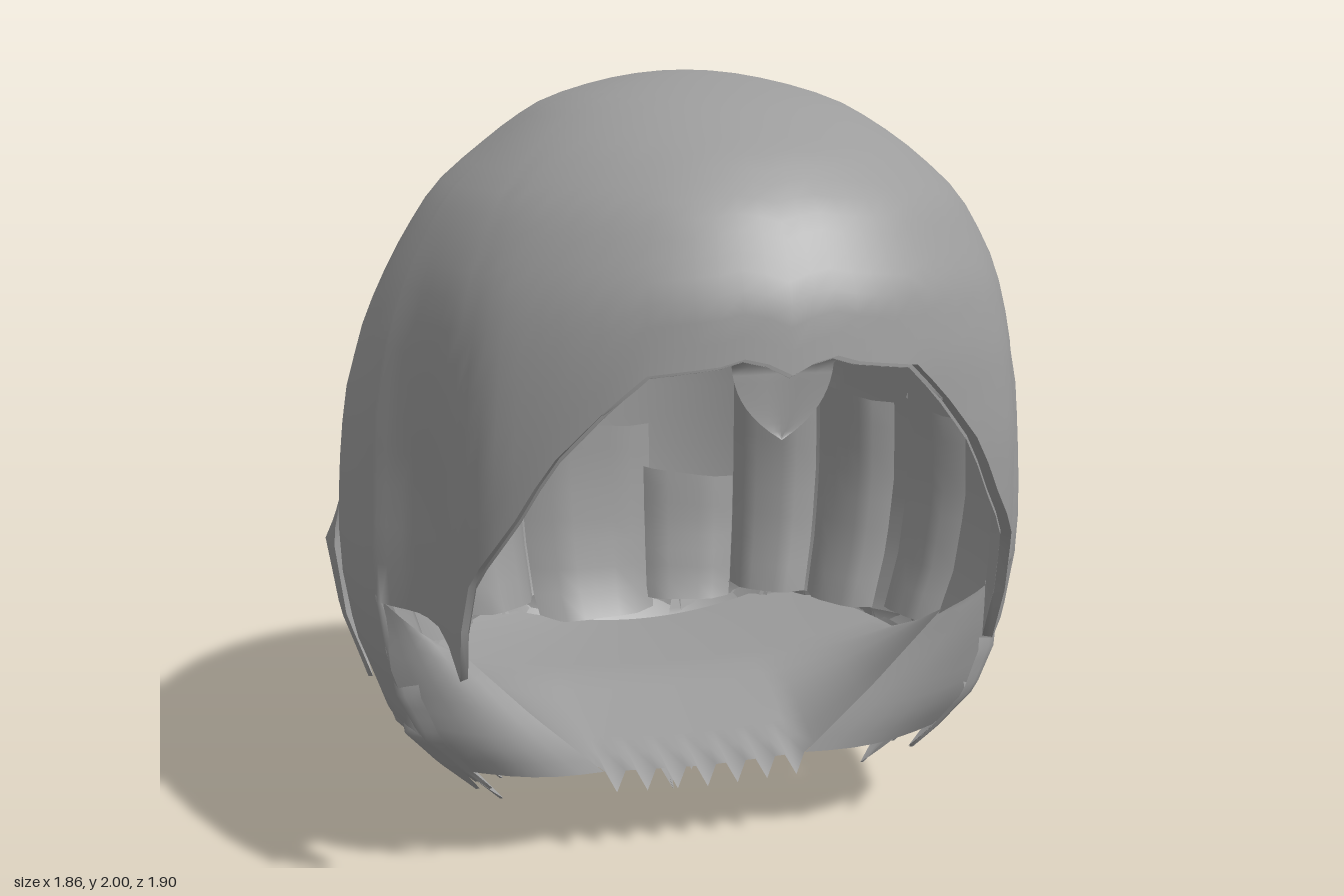
import * as THREE from 'three';
import { mergeVertices } from 'three/addons/utils/BufferGeometryUtils.js';

const hairMat = new THREE.MeshStandardMaterial({ color: 0x9c9c9c, side: THREE.DoubleSide });
hairMat.name = 'hairGrey';
const { lerp, smoothstep } = THREE.MathUtils;

// Linear lookup through [key, value] pairs with ascending keys
function lookup(keys, x) {
  if (x <= keys[0][0]) return keys[0][1];
  for (let i = 1; i < keys.length; i++) {
    const [a, va] = keys[i - 1], [b, vb] = keys[i];
    if (x <= b) return va + (vb - va) * (x - a) / (b - a);
  }
  return keys[keys.length - 1][1];
}

// Head shape: profiles (share of full radius by height) for front, side and back
const levels = [0, 0.1, 0.2, 0.3, 0.4, 0.6, 0.8, 1, 1.2, 1.4, 1.55, 1.72, 1.83, 1.93, 1.98, 2];
const profile = (v) => levels.map((y, i) => [Math.sqrt(2 - y), v[i]]).reverse();
const FRONT = profile([0.5, 0.6, 0.72, 0.82, 0.9, 0.94, 0.97, 0.99, 1, 1, 0.98, 0.88, 0.74, 0.5, 0.26, 0]);
const SIDE = profile([0.45, 0.55, 0.67, 0.79, 0.89, 0.967, 1, 0.99, 0.965, 0.9, 0.82, 0.7, 0.555, 0.39, 0.2, 0]);
const BACK = profile([0.15, 0.58, 0.72, 0.85, 0.93, 0.98, 1, 1, 1, 0.95, 0.88, 0.75, 0.62, 0.46, 0.28, 0]);

// Outline by angle from the front, and height of the lower edge by the same angle
const OUTLINE = [[0, 0.95], [20, 0.95], [41, 0.94], [56, 0.84], [64, 0.83], [73, 0.88], [90, 0.9],
  [106, 0.905], [120, 0.885], [150, 0.89], [180, 0.88]];
const HEM = [[0, 1.4], [5, 1.44], [9, 1.42], [18, 1.4], [23, 1.33], [31, 1.2], [37, 1.05], [45, 0.9], [48, 0.78],
  [51, 0.64], [55, 0.74], [60, 0.76], [71, 0.76], [72, 0.3], [90, 0.28], [180, 0.25]];

function radius(deg, y) {
  const a = Math.abs(deg) > 180 ? 360 - Math.abs(deg) : Math.abs(deg);
  const c = Math.cos(a * Math.PI / 180), q = Math.sqrt(Math.max(0, 2 - y));
  const side = lookup(SIDE, q), end = lookup(c > 0 ? FRONT : BACK, q);
  const dome = 0.9 + (c > 0 ? 0.05 : -0.02) * c * c;
  const full = lerp(dome, lookup(OUTLINE, a), 1 - smoothstep(y, 1.0, 1.7));
  return full * lerp(side, end, c * c);
}

function surface(deg, y, offset = 0) {
  const r = Math.max(0, radius(deg, y) + offset), a = deg * Math.PI / 180;
  return [Math.sin(a) * r, y, Math.cos(a) * r];
}

// Smooth sheet from point(u index, v index)
function sheet(name, nu, nv, point) {
  const pos = [], index = [];
  for (let i = 0; i <= nu; i++) for (let j = 0; j <= nv; j++) pos.push(...point(i, j));
  for (let i = 0; i < nu; i++) for (let j = 0; j < nv; j++) {
    const a = i * (nv + 1) + j, b = a + nv + 1;
    index.push(a, a + 1, b, b, a + 1, b + 1);
  }
  let geo = new THREE.BufferGeometry();
  geo.setAttribute('position', new THREE.Float32BufferAttribute(pos, 3));
  geo.setIndex(index);
  geo = mergeVertices(geo, 1e-5);
  geo.computeVertexNormals();
  const mesh = new THREE.Mesh(geo, hairMat);
  mesh.name = name;
  return mesh;
}

// Tapered lock that follows the head shape, ridged along its middle; fork raises the top corners
function lock(name, deg, width, top, tip, { lift = 0.02, drop = 0.04, sweep = 0, power = 1.6, fork = 0 } = {}) {
  return sheet(name, 6, 12, (i, j) => {
    const e = i / 3 - 1, t = j / 12, ramp = Math.min(1, t * 4);
    const y = top + (tip - top) * t;
    const w = width * (1 - Math.pow(t, power));
    const mid = deg + sweep * t;
    const d = w * e / Math.max(0.4, radius(mid, y)) * 180 / Math.PI;
    const off = lift * ramp - drop * Math.abs(e) * (1 - t * 0.7) * (fork ? ramp : 1) - (fork ? 0.008 : 0.02) * (1 - ramp);
    return surface(mid + d, y + fork * Math.abs(e) * (1 - t), off);
  });
}

export function createModel() {
  const group = new THREE.Group();
  group.name = 'hair';

  // Outer and inner shells, joined by a rim along the lower edge
  const half = [];
  for (let a = 0; a <= 180; a += 3) { half.push(a); if (a === 69) half.push(71); }
  const angles = [...half.slice(1).map((a) => -a).reverse(), ...half];
  const n = angles.length - 1, rows = 32, split = 24;
  const outer = (i, j) => {
    const hem = lookup(HEM, Math.abs(angles[i])), waist = Math.max(hem, 0.76);
    const y = j <= split ? 2 - (2 - waist) * (j / split) ** 2 : lerp(waist, hem, (j - split) / (rows - split));
    return surface(angles[i], y);
  };
  const inner = (i, j) => {
    const [x, y, z] = outer(i, j), s = j / rows;
    return [x * 0.97, y - 0.025 * (1 - s * s), z * 0.97];
  };
  group.add(sheet('outerShell', n, rows, outer));
  group.add(sheet('innerShell', n, rows, (i, j) => inner(n - i, j)));
  group.add(sheet('shellRim', n, 1, (i, j) => (j ? inner : outer)(i, rows)));

  // Bowl-shaped under-layer closing the bottom, with a ragged front edge
  const edgeY = [[0, 0.24], [0.27, 0.25], [0.45, 0.42], [0.64, 0.62]];
  group.add(sheet('underLayer', 48, 12, (i, j) => {
    const u = i / 24 - 1, v = j / 12, ax = Math.abs(u) * 0.64;
    const z = 0.24 - v * 0.92;
    const tooth = j === 0 && ax < 0.28 && i % 3 === 0 ? 0.05 : 0;
    const narrow = Math.sqrt(1 - Math.pow(Math.min(0, z) / 0.88, 2));
    const x = u * (0.64 + 0.06 * Math.min(1, v * 3)) * narrow;
    const y = lerp(lookup(edgeY, ax), 0.33 + 0.08 * u * u, Math.min(1, v * 2));
    return [x, y - tooth, z + tooth * 0.4];
  }));

  // Front edge of the sides, turning in to meet the under-layer
  for (const s of [-1, 1])
    group.add(sheet('sideFront', 6, 10, (i, j) => {
      const u = i / 6, v = j / 10;
      const [ox, oy, oz] = surface(72, 0.78 - 0.5 * v);
      const x = 0.66 - 0.39 * v;
      const bulge = 0.04 * Math.sin(Math.PI * u);
      return [s * lerp(ox, x, u), lerp(oy, lookup(edgeY, x), u), lerp(oz, 0.24, u) + bulge];
    }));

  // Broad folds on the inside of the back and sides
  const fold = (deg, width, top, bottom, depth) =>
    group.add(sheet('innerFold', 6, 8, (i, j) => {
      const e = i / 3 - 1, t = j / 8, y = top + (bottom - top) * t;
      const d = width * e / 0.75 * 180 / Math.PI;
      return surface(deg + d, y + 0.02 * e * (1 - t), -depth + depth * 0.6 * Math.pow(e, 4));
    }));
  fold(-171, 0.19, 0.94, 0.35, 0.12);
  fold(167, 0.14, 0.77, 0.38, 0.1);
  for (const s of [-1, 1]) {
    fold(s * 147, 0.12, 1.04, 0.42, 0.11);
    fold(s * 128, 0.12, 1.06, 0.42, 0.1);
    fold(s * 107, 0.11, 1.06, 0.45, 0.1);
  }

  // Raised locks on the back and sides
  const raised = { lift: 0.075, drop: 0.07, power: 2, fork: 0.06 };
  group.add(lock('backLock', 180, 0.13, 1.48, 0.42, raised));
  for (const s of [-1, 1]) {
    group.add(lock('rearSideLock', s * 138, 0.11, 1.2, 0.4, { ...raised, lift: 0.065, sweep: s * -3 }));
    group.add(lock('sideLock', s * 101, 0.08, 0.93, 0.41, { ...raised, lift: 0.045, drop: 0.04 }));
  }

  // Fringe tufts at the brow
  group.add(lock('browTuft', 0, 0.12, 1.46, 1.25, { lift: -0.08, drop: -0.02, power: 3 }));
  for (const s of [-1, 1])
    group.add(lock('browTip', s * 19, 0.08, 1.46, 1.31, { lift: -0.02, drop: 0.01, sweep: s * 5 }));

  // Pointed tips round the lower edge: [angle, half width, top, tip, sweep, lift]
  const tips = [
    [74, 0.05, 0.6, 0.24, -8, 0.01], [76, 0.08, 0.45, 0.21, -3, 0.015], [83, 0.1, 0.45, 0.18, 0, 0.01],
    [92, 0.11, 0.42, 0.1, -4, 0.02], [101, 0.1, 0.4, 0.12, 0, 0.01], [110, 0.12, 0.42, 0.09, -5, 0.025],
    [119, 0.13, 0.4, 0.12, 3, 0.005], [128, 0.14, 0.42, 0.07, -6, 0.03], [138, 0.15, 0.4, 0.03, 4, 0.005],
    [148, 0.15, 0.42, 0.04, -6, 0.03], [158, 0.16, 0.4, 0.02, 4, 0.005], [169, 0.15, 0.42, 0.03, -5, 0.03],
  ];
  for (const s of [-1, 1]) for (const [a, w, top, tip, sweep, lift] of tips)
    group.add(lock('lowerTip', s * a, w, top, tip, { lift, drop: 0.03, power: 2.4, sweep: s * sweep }));
  group.add(lock('lowerTip', 180, 0.17, 0.4, 0, { lift: 0.015, drop: 0.03, power: 2.4 }));

  return group;
}
